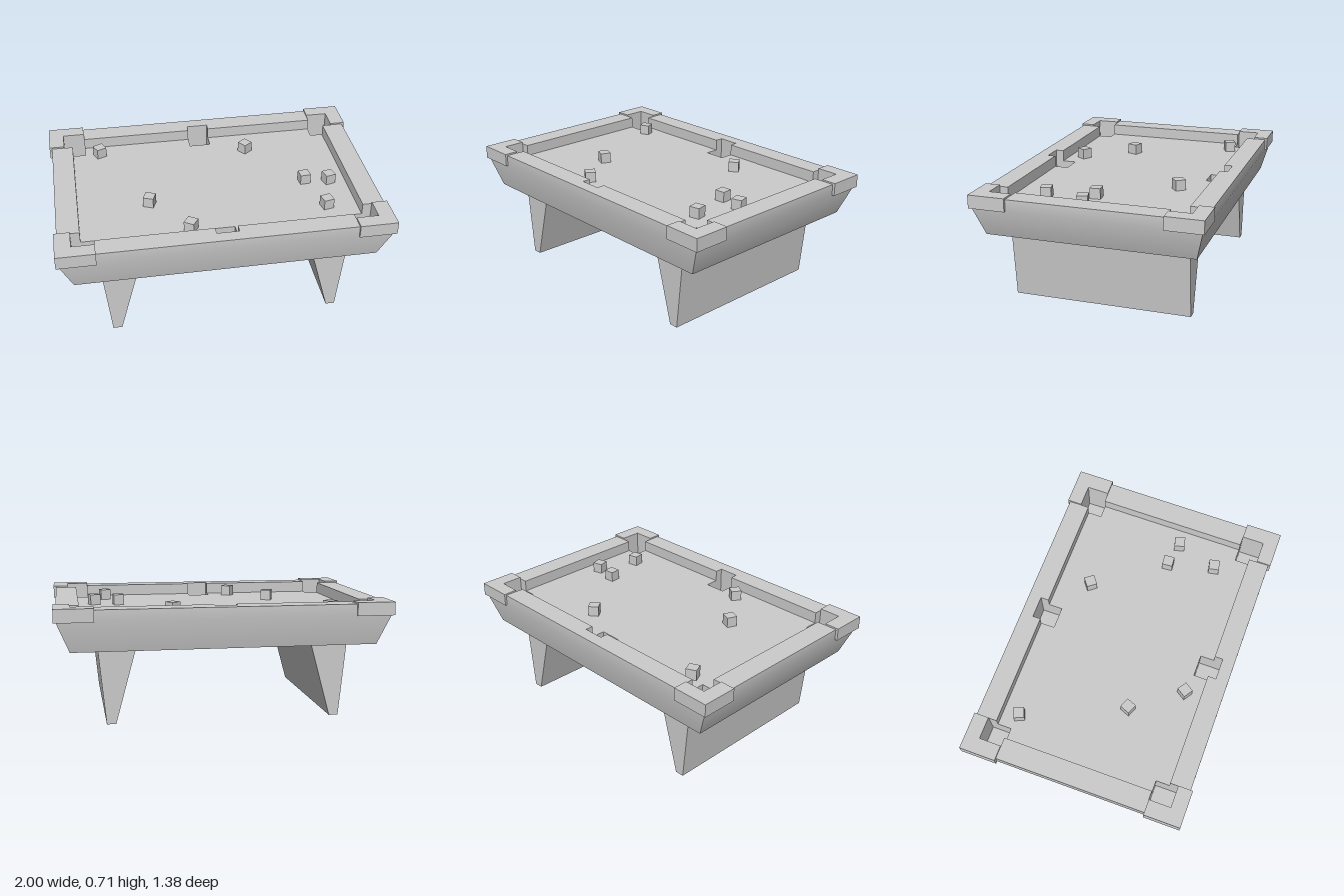
import * as THREE from 'three';
import { mergeGeometries, toCreasedNormals } from 'three/addons/utils/BufferGeometryUtils.js';

const BED = 0.63, RAIL_TOP = 0.7, UNDERSIDE = 0.45;
const OUT_X = 0.984, OUT_Z = 0.677;          // rail outline, half sizes
const POCKET = { x0: 0.77, x1: 0.905, z0: 0.465, z1: 0.6, mid: 0.0675 };

const toPath = (pts, Type = THREE.Shape) => new Type(pts.map(([x, y]) => new THREE.Vector2(x, y)));
const rect = (x0, x1, z0, z1) => [[x0, z0], [x1, z0], [x1, z1], [x0, z1]];

// Flat slab lying in the x/z plane, from y0 to y1
function slab(outline, holes, y0, y1) {
  const shape = toPath(outline);
  holes.forEach((h) => shape.holes.push(toPath(h, THREE.Path)));
  const geo = new THREE.ExtrudeGeometry(shape, { depth: y1 - y0, bevelEnabled: false });
  return geo.rotateX(-Math.PI / 2).translate(0, y0, 0);
}

export function createModel() {
  const group = new THREE.Group();
  const material = new THREE.MeshStandardMaterial({ color: 0xcccccc });
  const add = (name, geo) => {
    const mesh = new THREE.Mesh(geo, material);
    mesh.name = name;
    group.add(mesh);
    return mesh;
  };
  const { x0, x1, z0, z1, mid } = POCKET;

  // Rail frame: the opening is notched at all six pockets
  const quarter = [[0.85, z0], [x1, z0], [x1, z1], [x0, z1], [x0, 0.55], [mid, 0.55], [mid, z1]];
  const half = [...quarter, ...quarter.map(([x, z]) => [-x, z]).reverse()];
  const opening = [...half, ...half.map(([x, z]) => [-x, -z])];
  const rail = slab(rect(-OUT_X, OUT_X, -OUT_Z, OUT_Z), [opening], BED, RAIL_TOP);

  // Tapered apron below the rail, open at the top
  const apron = new THREE.BoxGeometry(2 * OUT_X, BED - UNDERSIDE, 2 * OUT_Z);
  apron.translate(0, (BED + UNDERSIDE) / 2, 0);
  const pos = apron.attributes.position;
  for (let i = 0; i < pos.count; i++) {
    if (pos.getY(i) < 0.5) {
      pos.setX(i, Math.sign(pos.getX(i)) * 0.91);
      pos.setZ(i, Math.sign(pos.getZ(i)) * 0.63);
    }
  }
  apron.setIndex(Array.from(apron.index.array).filter((_, i) => i < 12 || i >= 18));
  const shell = [rail, apron.toNonIndexed()];
  shell.forEach((g) => { g.deleteAttribute('uv'); g.deleteAttribute('normal'); });
  add('railAndApron', toCreasedNormals(mergeGeometries(shell), 0.6));

  // Playing bed with six square pocket wells and a floor beneath them
  const wells = [];
  for (const s of [-1, 1]) {
    for (const [a, b] of [[-x1, -x0], [-mid, mid], [x0, x1]]) {
      wells.push(rect(a, b, Math.min(s * z0, s * z1), Math.max(s * z0, s * z1)));
    }
  }
  add('playingBed', slab(rect(-0.915, 0.915, -0.633, 0.633), wells, 0.5, BED));
  add('pocketFloor', new THREE.BoxGeometry(1.82, 0.04, 1.26).translate(0, 0.48, 0));

  // L-shaped corner caps around the corner pockets
  const cap = [[x0, 0.69], [1, 0.69], [1, z0], [x1, z0], [x1, z1], [x0, z1]];
  for (const sx of [-1, 1]) {
    for (const sz of [-1, 1]) {
      add('cornerCap', slab(cap.map(([x, z]) => [sx * x, sz * z]), [], BED, 0.71));
    }
  }

  // Wedge-shaped slab legs
  const leg = [[0.65, 0], [0.705, 0], [0.75, UNDERSIDE], [0.527, UNDERSIDE]];
  for (const s of [-1, 1]) {
    const profile = toPath(leg.map(([x, y]) => [s * x, y]));
    const geo = new THREE.ExtrudeGeometry(profile, { depth: 1.1, bevelEnabled: false });
    add(s > 0 ? 'leftLeg' : 'rightLeg', geo.translate(0, 0, -0.55));
  }

  // Cube balls scattered on the bed: x, z, turn
  const size = 0.065;
  const balls = [
    [-0.675, -0.447, 0.42], [0.285, -0.35, 0.66], [-0.41, 0.157, -0.39], [-0.195, 0.447, -0.58],
    [0.588, 0.067, 0.08], [0.741, 0.093, 0.25], [0.661, 0.352, 0.2],
  ];
  for (const [x, z, turn] of balls) {
    const ball = add('ball', new THREE.BoxGeometry(size, size, size));
    ball.position.set(x, BED + size / 2, z);
    ball.rotation.y = turn;
  }
  return group;
}
